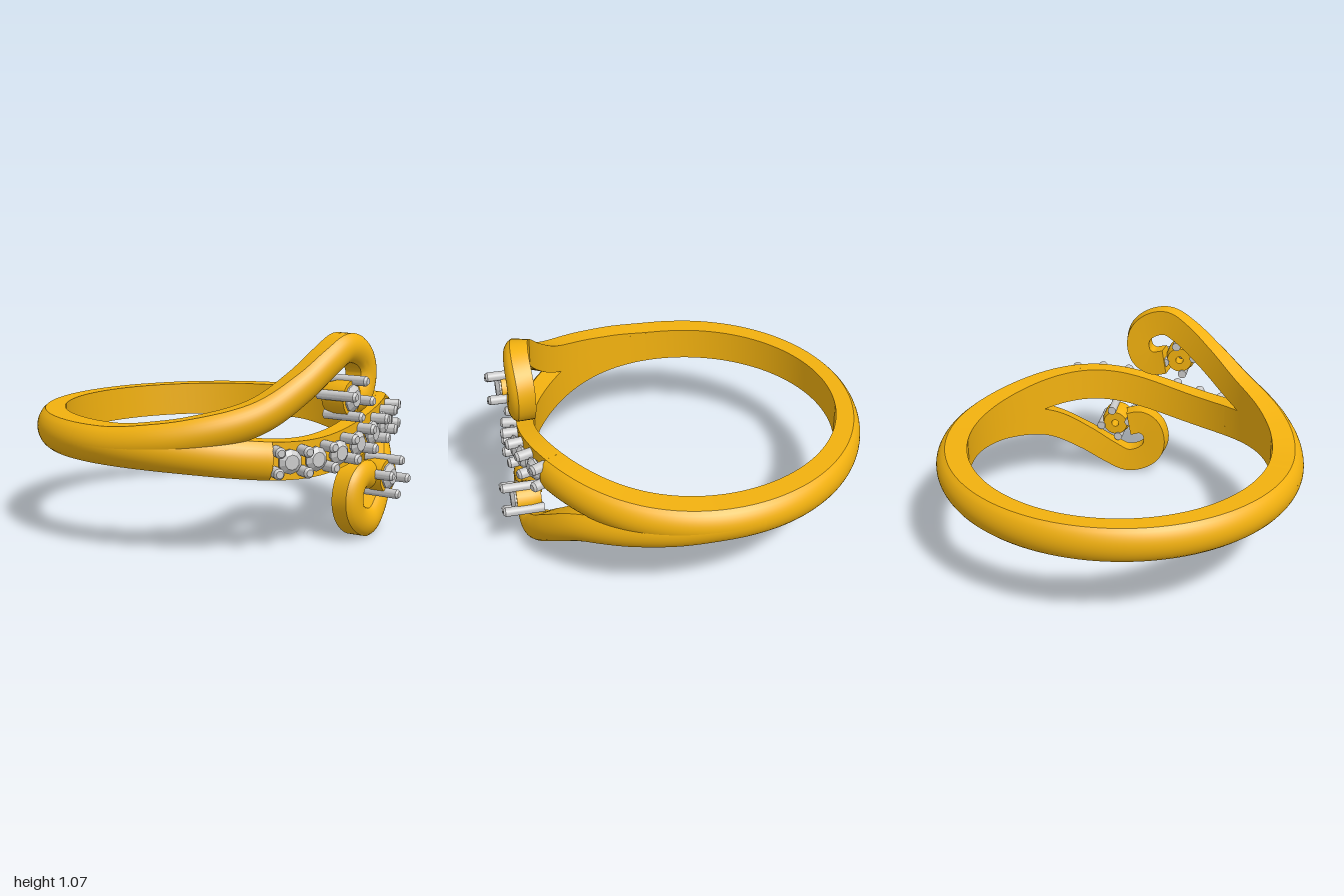
import * as THREE from 'three';
import { toCreasedNormals } from 'three/addons/utils/BufferGeometryUtils.js';

const gold = new THREE.MeshStandardMaterial({ color: 0xf2b10f });
const grey = new THREE.MeshStandardMaterial({ color: 0xcccccc });
const stone = new THREE.MeshStandardMaterial({ color: 0xcccccc, flatShading: true });

const MID = 0.5425, ZC = -0.047, INNER = 0.822, R = 0.92;
const outer = (a) => 0.952 + 0.043 * Math.sin(a) ** 2;

// Point on the ring: angle a from the front, height y, radius r
const wrap = (a, y, r) => new THREE.Vector3(r * Math.sin(a), y, ZC + r * Math.cos(a));

// Height of the main band, an S-curve at the front
const bandY = (a) => MID + 0.213 * a * Math.exp(-((a / 0.48) ** 2) / 2);

// Section as [across -1..1, radial 0..1]: flat inside, domed or flat outside
function section(domed) {
  const pts = [[-1, 0], [1, 0]];
  const n = domed ? 12 : 1;
  for (let i = 0; i <= n; i++) {
    const w = 1 - (2 * i) / n;
    pts.push([w, 0.7 + (domed ? 0.3 * (1 - w * w) ** 0.8 : 0)]);
  }
  return pts;
}

// Sweeps a section along path(t) -> [angle, y], wrapped round the finger
function sweep(path, half, steps, domed) {
  const sec = section(domed), n = sec.length, pos = [], idx = [];
  for (let i = 0; i <= steps; i++) {
    const t = i / steps, [a, y] = path(t);
    const p = path(Math.max(0, t - 0.002)), q = path(Math.min(1, t + 0.002));
    const tan = new THREE.Vector2((q[0] - p[0]) * R, q[1] - p[1]).normalize();
    for (const [w, d] of sec) {
      const off = w * half(t);
      const ang = a - (tan.y * off) / R;
      const v = wrap(ang, y + tan.x * off, INNER + d * (outer(ang) - INNER));
      pos.push(v.x, v.y, v.z);
    }
  }
  for (let i = 0; i < steps; i++) {
    for (let j = 0; j < n; j++) {
      const k = (j + 1) % n, a = i * n + j, b = i * n + k;
      idx.push(a, b, b + n, a, b + n, a + n);
    }
  }
  const e = steps * n;
  for (let j = 1; j < n - 1; j++) idx.push(0, j + 1, j, e, e + j, e + j + 1);
  const g = new THREE.BufferGeometry();
  g.setAttribute('position', new THREE.Float32BufferAttribute(pos, 3));
  g.setIndex(idx);
  return toCreasedNormals(g, 0.5);
}

function add(parent, name, geometry, material) {
  const m = new THREE.Mesh(geometry, material);
  m.name = name;
  parent.add(m);
  return m;
}

// Cut stone facing +z, girdle at z = 0
function gemGeometry(r) {
  const profile = [[0, -0.05], [r, -0.008], [r, 0.004], [r * 0.6, 0.024], [0, 0.024]];
  return new THREE.LatheGeometry(profile.map((p) => new THREE.Vector2(...p)), 10).rotateX(Math.PI / 2);
}

// Prong along z from z0 to z1 with a slightly rounded tip
function prongGeometry(r, z0, z1) {
  const profile = [[0, z0], [r, z0], [r, z1 - 0.012], [r * 0.65, z1], [0, z1]];
  const g = new THREE.LatheGeometry(profile.map((p) => new THREE.Vector2(...p)), 14);
  return toCreasedNormals(g.rotateX(Math.PI / 2), 0.6);
}

// Gold cup with a pierced base, one stone and four long prongs
function createSetting(turn) {
  const s = new THREE.Group();
  s.name = 'scrollSetting';
  const cup = [[0.022, 0.79], [0.072, 0.79], [0.086, 0.84], [0.086, 0.92], [0.06, 0.92], [0.022, 0.87], [0.022, 0.79]];
  const g = new THREE.LatheGeometry(cup.map((p) => new THREE.Vector2(...p)), 28).rotateX(Math.PI / 2);
  add(s, 'cup', toCreasedNormals(g, 0.4), gold);
  add(s, 'scrollStone', gemGeometry(0.068), stone).position.z = 0.925;
  const prong = prongGeometry(0.025, 0.78, 0.998);
  for (let i = 0; i < 4; i++) {
    const a = turn + 1.35 + (i * Math.PI) / 2;
    add(s, 'longProng', prong, grey).position.set(0.088 * Math.cos(a), 0.088 * Math.sin(a), 0);
  }
  return s;
}

export function createModel() {
  const ring = new THREE.Group();
  ring.name = 'ring';

  // Main band: domed around the back, flat-floored where the stones sit
  const a0 = Math.asin(-0.57 / 0.94), a1 = Math.asin(0.43 / 0.94);
  const span = (from, to) => (t) => {
    const a = from + (to - from) * t;
    const s = a > Math.PI ? a - 2 * Math.PI : a;
    return [a, bandY(s)];
  };
  add(ring, 'band', sweep(span(a1, a0 + 2 * Math.PI), () => 0.094, 140, true), gold);
  add(ring, 'stoneChannel', sweep(span(a0, a1), () => 0.094, 40, false), gold);

  // Scrolls: one curls up from the left of the picture plane, one down from the other side
  const path = [[-1.75, 0.5425], [-1.5, 0.548], [-1.3, 0.571], [-1.08, 0.606], [-0.71, 0.7],
    [-0.45, 0.838], [-0.275, 0.945], [-0.141, 1.004], [-0.033, 0.985], [0.042, 0.93], [0.064, 0.86],
    [0.033, 0.778], [-0.043, 0.743], [-0.13, 0.758]];
  const curve = new THREE.CatmullRomCurve3(path.map(([a, y]) => new THREE.Vector3(a * R, y, 0)));
  for (const flip of [1, -1]) {
    const follow = (t) => {
      const p = curve.getPointAt(t);
      return [(flip * p.x) / R, MID + flip * (p.y - MID)];
    };
    const half = (t) => 0.093 - 0.02 * THREE.MathUtils.smoothstep(t, 0.1, 0.7);
    add(ring, flip > 0 ? 'upperScroll' : 'lowerScroll', sweep(follow, half, 110, true), gold);
    const setting = createSetting(0);
    setting.position.set(-0.195 * flip, MID + flip * 0.227, 0);
    ring.add(setting);
  }

  // Row of seven stones with a pair of prongs at each boundary
  const row = new THREE.Group();
  row.name = 'stoneRow';
  ring.add(row);
  const gem = gemGeometry(0.062), prong = prongGeometry(0.028, -0.03, 0.088);
  const n = 7, first = a0 + 0.025, step = (a1 - a0 - 0.04) / n;
  for (let i = 0; i <= n; i++) {
    const a = first + i * step;
    const slope = (bandY(a + 0.01) - bandY(a - 0.01)) / (0.02 * R);
    for (const side of [-0.051, 0.051]) {
      const b = a - (slope * side) / R;
      const p = add(row, 'shortProng', prong, grey);
      p.position.copy(wrap(b, bandY(a) + side, 0.915));
      p.rotation.y = b;
    }
    if (i === n) break;
    const c = a + step / 2;
    const s = add(row, 'rowStone', gem, stone);
    s.position.copy(wrap(c, bandY(c), 0.94));
    s.rotation.y = c;
  }
  return ring;
}
